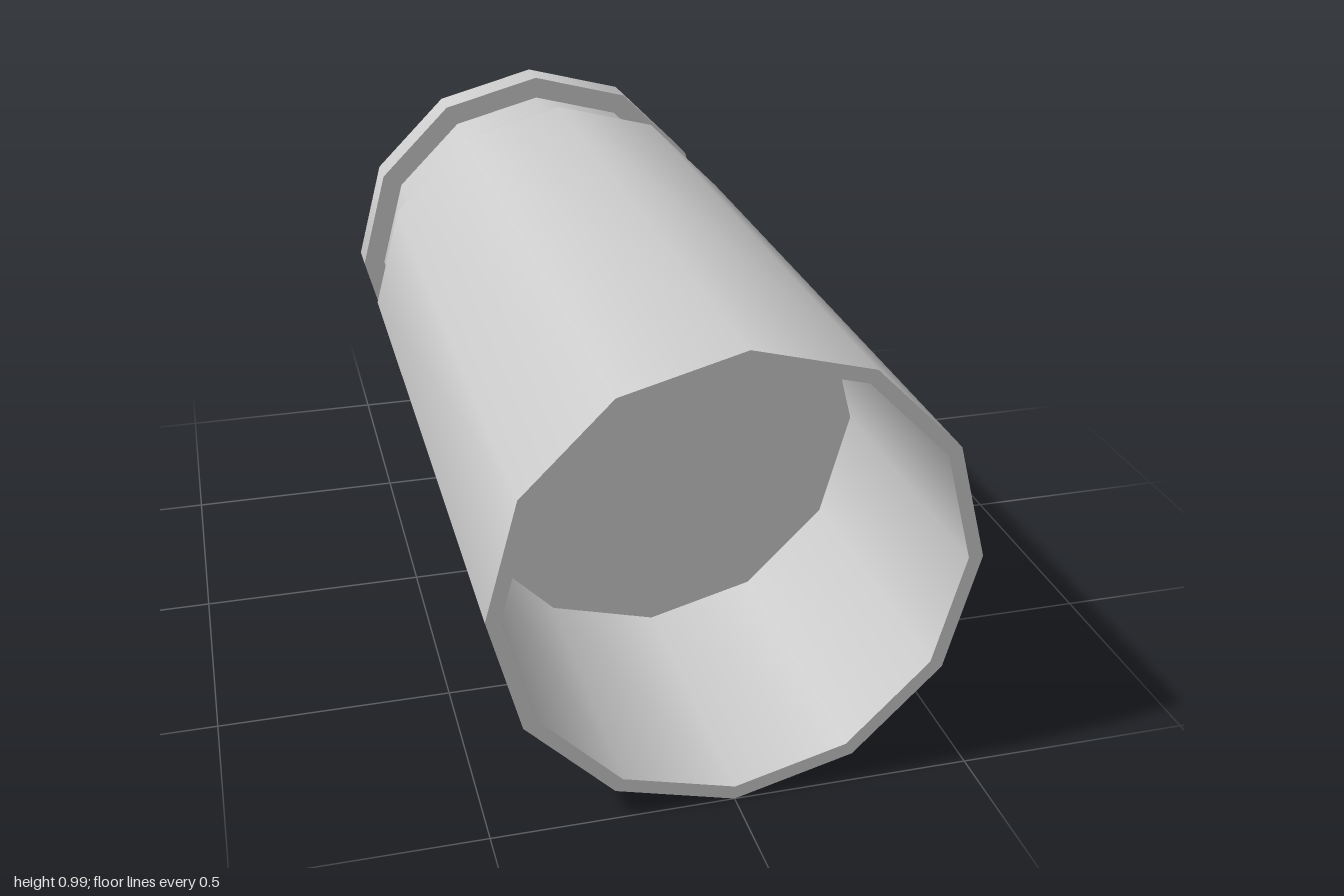
import * as THREE from 'three';
import { mergeGeometries } from 'three/addons/utils/BufferGeometryUtils.js';

const SIDES = 12;
const RADIUS = 0.495;
const BORE = 0.465;
const NECK = 0.44;

// Profile points are [radius, z], running from back to front along the outside.
// Each step is its own band: smooth around the axis, sharp between bands.
function turned(name, profile, material) {
  const bands = profile.slice(1).map((end, i) =>
    new THREE.LatheGeometry(
      [new THREE.Vector2(...profile[i]), new THREE.Vector2(...end)], SIDES));
  const geometry = mergeGeometries(bands);
  geometry.rotateX(Math.PI / 2);
  const mesh = new THREE.Mesh(geometry, material);
  mesh.name = name;
  mesh.position.y = RADIUS;
  return mesh;
}

export function createModel() {
  const group = new THREE.Group();
  group.name = 'casing';
  const material = new THREE.MeshStandardMaterial({ color: 0xcccccc });

  // Closed rear rim with a chamfered back edge
  group.add(turned('rim',
    [[0, -1], [0.457, -1], [RADIUS, -0.965], [RADIUS, -0.875], [NECK, -0.875]], material));

  // Narrow groove and the taper up to the wall
  group.add(turned('groove',
    [[NECK, -0.875], [NECK, -0.745], [RADIUS, -0.585]], material));

  // Straight outer wall and the front lip
  group.add(turned('wall',
    [[RADIUS, -0.585], [RADIUS, 1], [BORE, 1]], material));

  // Open bore with a flat floor
  group.add(turned('bore',
    [[BORE, 1], [BORE, 0.36], [0, 0.36]], material));

  return group;
}
